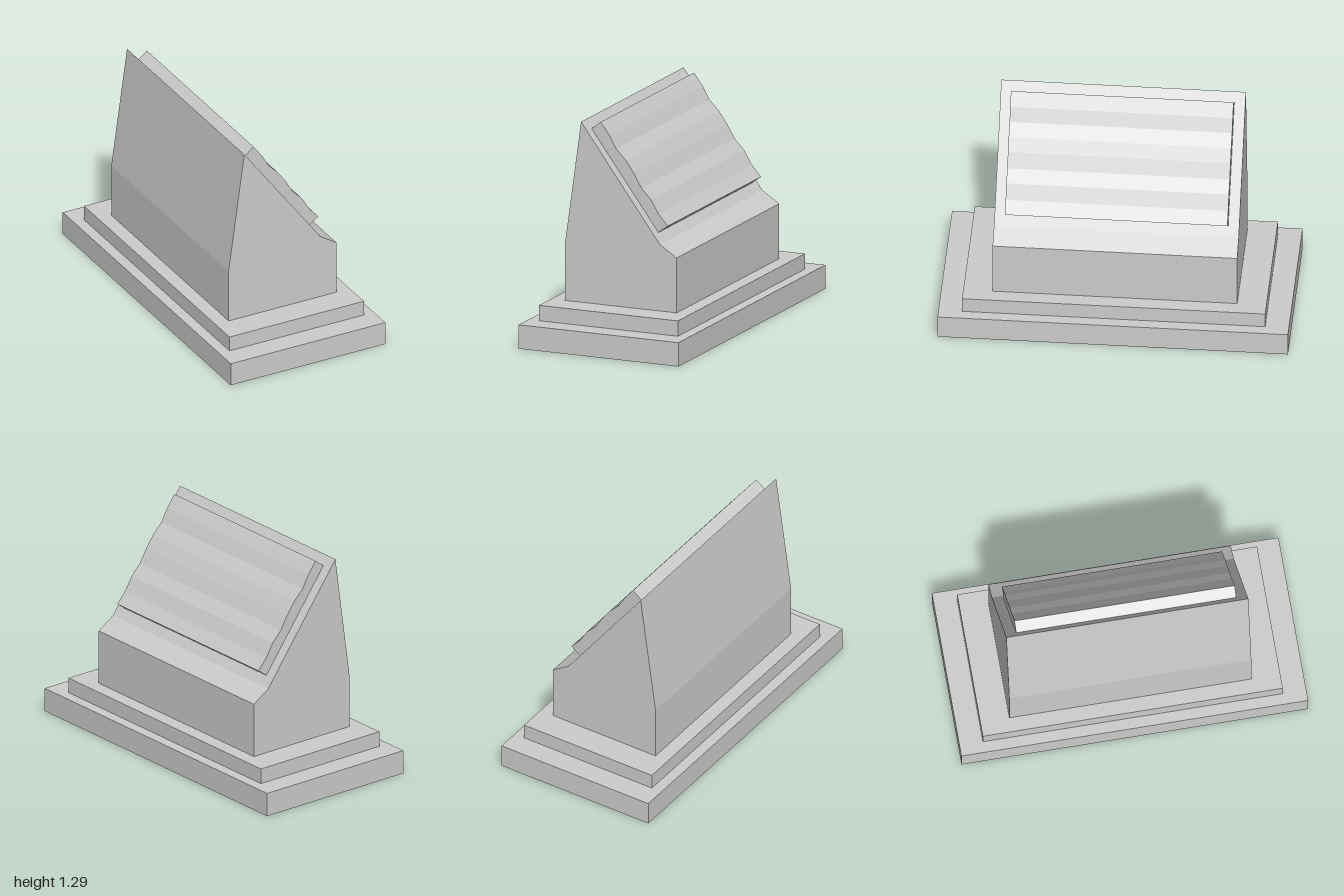
import * as THREE from 'three';

const material = new THREE.MeshStandardMaterial({ color: 0xcccccc, flatShading: true });

// Extrudes an x-y outline along z, centred on z = 0
function prism(name, outline, length) {
  const shape = new THREE.Shape(outline.map(([x, y]) => new THREE.Vector2(x, y)));
  const geometry = new THREE.ExtrudeGeometry(shape, { depth: length, bevelEnabled: false });
  geometry.translate(0, 0, -length / 2);
  const mesh = new THREE.Mesh(geometry, material);
  mesh.name = name;
  return mesh;
}

// Box resting on a given height
function slab(name, width, height, depth, bottom) {
  const mesh = new THREE.Mesh(new THREE.BoxGeometry(width, height, depth), material);
  mesh.name = name;
  mesh.position.y = bottom + height / 2;
  return mesh;
}

export function createModel() {
  const model = new THREE.Group();
  model.name = 'slopedMonument';

  // Stepped plinth
  model.add(slab('lowerStep', 1.0, 0.14, 2.0, 0));
  model.add(slab('upperStep', 0.87, 0.09, 1.73, 0.14));

  // Wedge-shaped block with a leaning back and a sloping face
  model.add(prism('wedgeBlock', [
    [-0.35, 0.23], [0.35, 0.23], [0.35, 0.552], [0.245, 0.62], [-0.248, 1.288], [-0.35, 0.552],
  ], 1.396));

  // Rippled panel lying on the slope
  model.add(prism('rippledPanel', [
    [0.207, 0.672], [0.265, 0.715], [0.208, 0.78], [0.16, 0.86], [0.1, 0.923], [0.053, 1.003],
    [0.003, 1.073], [-0.058, 1.135], [-0.1, 1.21], [-0.154, 1.282], [-0.211, 1.238],
  ], 1.27));

  return model;
}
